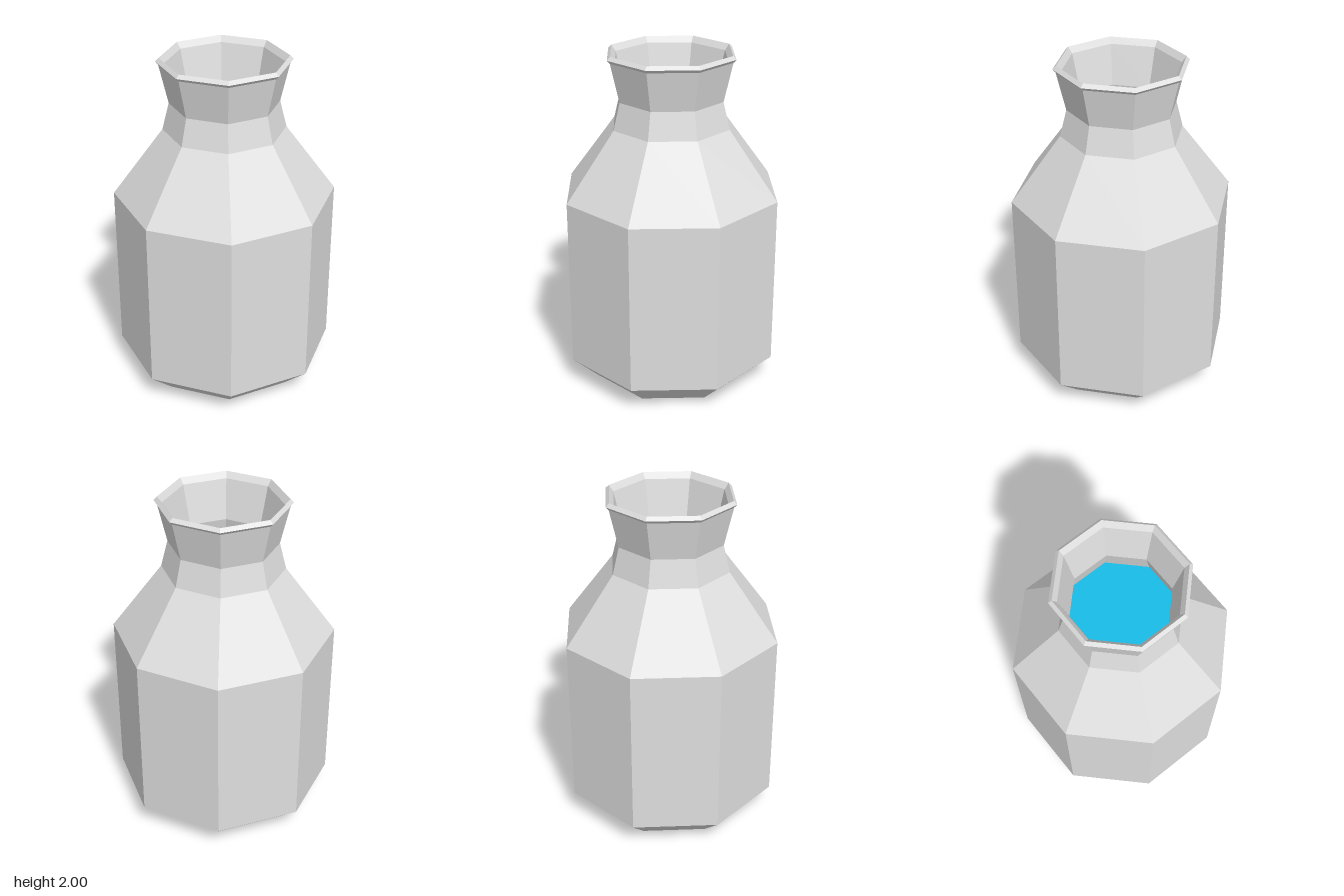
import * as THREE from 'three';

const SIDES = 8;

// Eight-sided turned solid from [radius, height] pairs
function turned(name, profile, material) {
  const points = profile.map(([r, y]) => new THREE.Vector2(r, y));
  const mesh = new THREE.Mesh(new THREE.LatheGeometry(points, SIDES), material);
  mesh.name = name;
  return mesh;
}

export function createModel() {
  const glass = new THREE.MeshStandardMaterial({ color: 0xdedede, flatShading: true });
  glass.name = 'pale grey glass';
  const blue = new THREE.MeshStandardMaterial({ color: 0x12c0ec, flatShading: true });
  blue.name = 'blue liquid';

  const group = new THREE.Group();
  group.name = 'bottle';

  // Outer shell: base, bevel, body, shoulder, neck and flared lip
  group.add(turned('outerShell', [
    [0, 0], [0.485, 0], [0.65, 0.153], [0.65, 1.173], [0.355, 1.573],
    [0.315, 1.732], [0.368, 1.962], [0.385, 1.98], [0.365, 2],
  ], glass));

  // Inner wall, from the lip down through the throat
  group.add(turned('innerWall', [
    [0.365, 2], [0.339, 1.965], [0.285, 1.732], [0.325, 1.56],
    [0.62, 1.16], [0.62, 0.165], [0.47, 0.03], [0, 0.03],
  ], glass));

  // Liquid filling the body up to the shoulder
  group.add(turned('liquid', [
    [0, 0.04], [0.46, 0.04], [0.61, 0.17], [0.61, 1.15], [0, 1.15],
  ], blue));

  return group;
}
